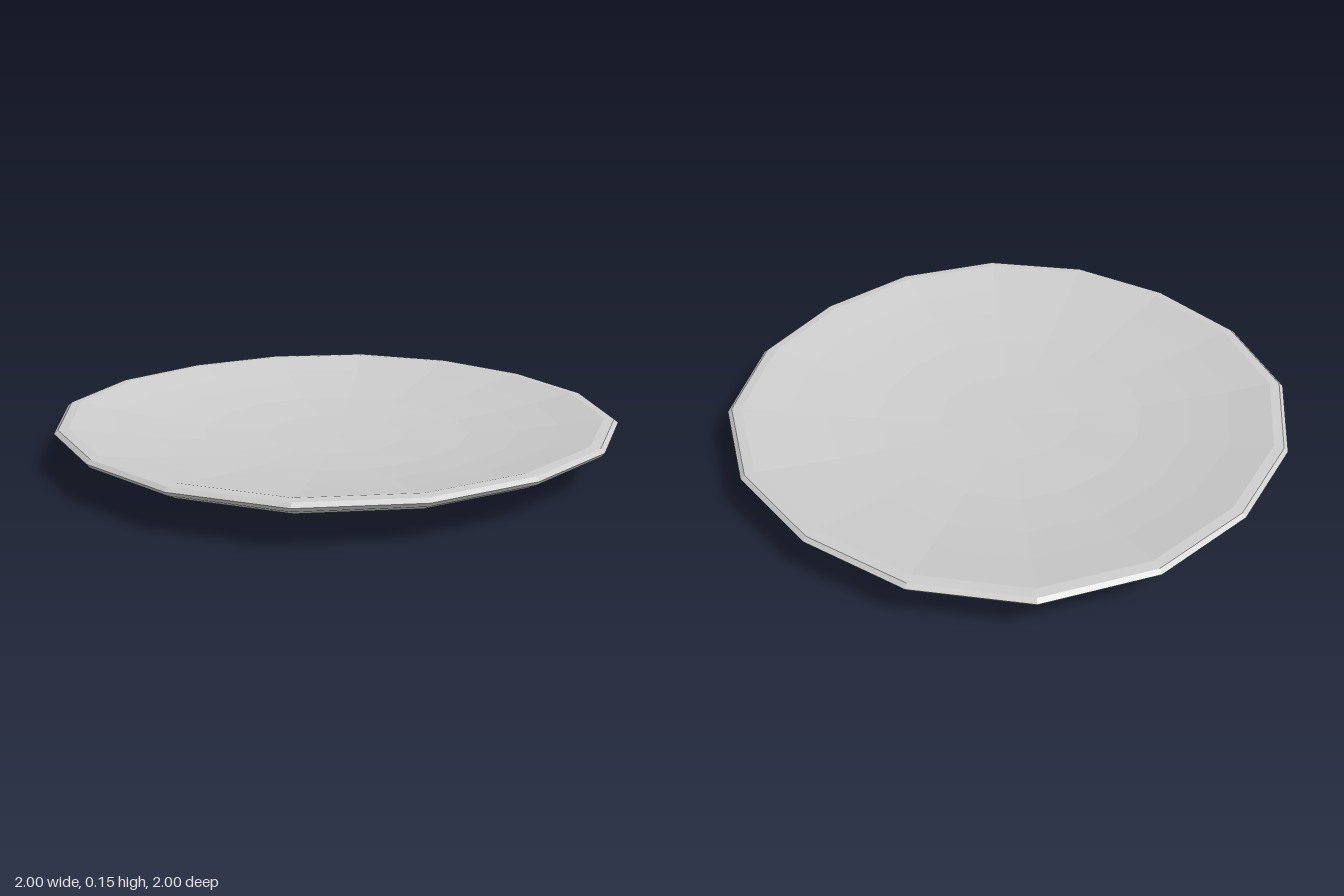
import * as THREE from 'three';

const SIDES = 16;

// Cross-section from the centre of the underside, round the rim, to the centre of the dish
const PROFILE = [
  [0, 0], [0.15, 0.002], [0.3, 0.01], [0.4, 0.022], [0.47, 0.04], [0.53, 0.06], [0.6, 0.071],
  [0.75, 0.079], [0.88, 0.087], [0.95, 0.101], [0.99, 0.122], [1, 0.136], [0.985, 0.148], [0.95, 0.15],
  [0.9, 0.14], [0.8, 0.12], [0.66, 0.097], [0.48, 0.074], [0.25, 0.06], [0, 0.057],
];

export function createModel() {
  const group = new THREE.Group();
  group.name = 'plate';

  const points = PROFILE.map(([r, y]) => new THREE.Vector2(r, y));
  const geometry = new THREE.LatheGeometry(points, SIDES);

  // Swell the diagonals a little so the outline is slightly squared
  const pos = geometry.attributes.position;
  for (let i = 0; i < pos.count; i++) {
    const x = pos.getX(i), z = pos.getZ(i);
    const swell = 1 + 0.03 * Math.sin(2 * Math.atan2(z, x)) ** 2;
    pos.setX(i, x * swell);
    pos.setZ(i, z * swell);
  }
  geometry.computeVertexNormals();

  const dish = new THREE.Mesh(
    geometry,
    new THREE.MeshStandardMaterial({ color: 0xcccccc, flatShading: true }),
  );
  dish.name = 'dish';
  group.add(dish);
  return group;
}
